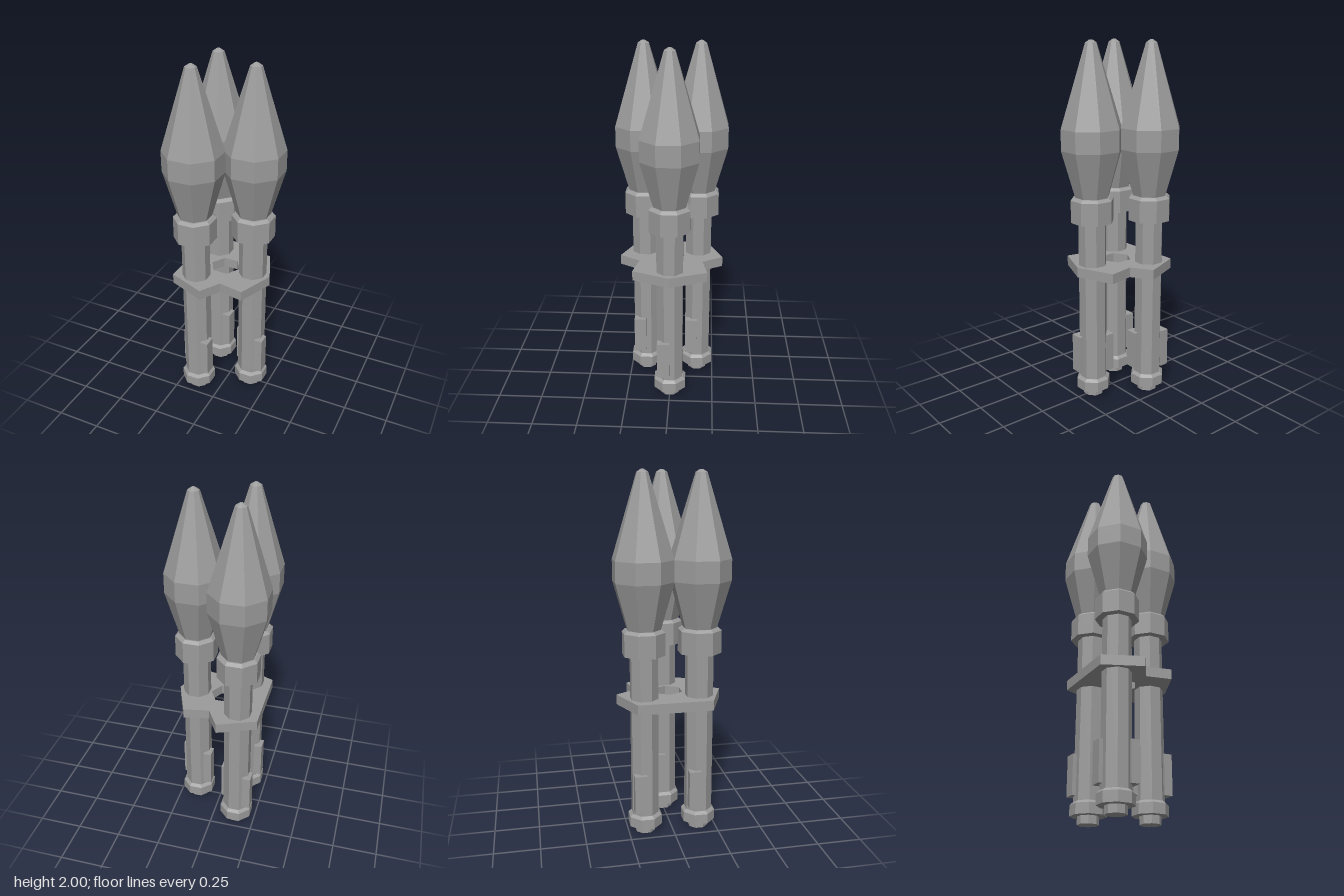
import * as THREE from 'three';

const grey = new THREE.MeshStandardMaterial({ color: 0x9c9c9c, flatShading: true });
grey.name = 'metal grey';

// Eight-sided turned part; profile holds [half width across flats, y] from bottom to top
function turned(name, profile) {
  const points = profile.map(([w, y]) => new THREE.Vector2(w / Math.cos(Math.PI / 8), y));
  const geometry = new THREE.LatheGeometry(points, 8, Math.PI / 8).toNonIndexed();
  geometry.computeVertexNormals();
  const mesh = new THREE.Mesh(geometry, grey);
  mesh.name = name;
  return mesh;
}

function createRocket() {
  const rocket = new THREE.Group();
  rocket.name = 'rocket';
  rocket.add(
    turned('nozzle', [[0, 0], [0.053, 0], [0.053, 0.05]]),
    turned('baseRing', [[0, 0.043], [0.09, 0.043], [0.09, 0.1], [0.075, 0.115], [0, 0.115]]),
    turned('motorTube', [[0.073, 0.1], [0.073, 1.05]]),
    turned('collar', [[0, 1.035], [0.111, 1.035], [0.111, 1.16], [0.095, 1.175], [0, 1.175]]),
    turned('warhead', [[0.085, 1.165], [0.155, 1.43], [0.155, 1.545], [0.029, 1.985], [0.008, 2], [0, 2]])
  );
  // Two offset side plates, opposite each other
  for (const s of [1, -1]) {
    const plate = new THREE.Mesh(new THREE.BoxGeometry(0.047, 0.22, 0.07), grey);
    plate.name = 'sidePlate';
    plate.position.set(s * 0.0715, 0.255, s * 0.035);
    rocket.add(plate);
  }
  return rocket;
}

function createBracket() {
  // Half outline on the +z side, mirrored for the other side
  const half = [[0.162, 0.208], [0.02, 0.18], [-0.05, 0.295], [-0.262, 0.208]];
  const outline = [[0.245, 0], ...half, ...half.map(([x, z]) => [x, -z]).reverse()];
  const shape = new THREE.Shape(outline.map(([x, z]) => new THREE.Vector2(x, z)));
  // Central opening between the tubes
  const hole = [];
  for (let i = 0; i < 6; i++) {
    const a = (i * Math.PI) / 3;
    hole.push(new THREE.Vector2(-0.03 + 0.085 * Math.cos(a), 0.085 * Math.sin(a)));
  }
  shape.holes.push(new THREE.Path(hole));
  const geometry = new THREE.ExtrudeGeometry(shape, { depth: 0.056, bevelEnabled: false });
  geometry.rotateX(-Math.PI / 2).translate(0, 0.733, 0);
  const bracket = new THREE.Mesh(geometry, grey);
  bracket.name = 'bracket';
  return bracket;
}

export function createModel() {
  const model = new THREE.Group();
  model.name = 'rocketCluster';
  // Three rockets in a triangle
  for (const [x, z] of [[0.14, 0], [-0.14, 0.154], [-0.14, -0.154]]) {
    const rocket = createRocket();
    rocket.position.set(x, 0, z);
    model.add(rocket);
  }
  model.add(createBracket());
  return model;
}
